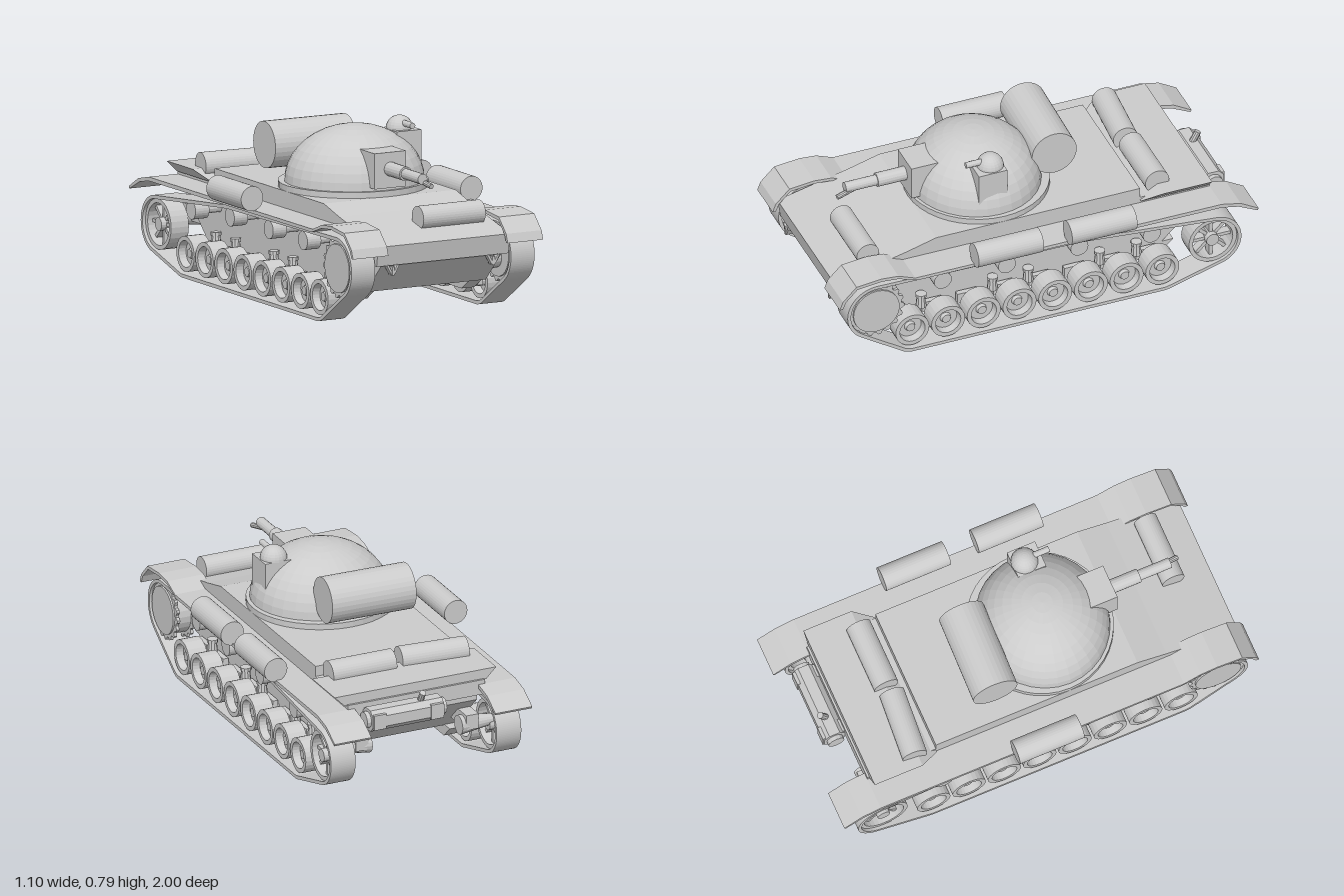
import * as THREE from 'three';

const mat = new THREE.MeshStandardMaterial({ color: 0xcccccc, flatShading: true, side: THREE.DoubleSide });

function add(parent, name, geo, x = 0, y = 0, z = 0) {
  const m = new THREE.Mesh(geo, mat);
  m.name = name;
  m.position.set(x, y, z);
  parent.add(m);
  return m;
}
const box = (w, h, d) => new THREE.BoxGeometry(w, h, d);
const cylX = (r, len, seg = 24, r2 = r) => new THREE.CylinderGeometry(r, r2, len, seg).rotateZ(-Math.PI / 2);
const cylZ = (r, len, seg = 16, r2 = r) => new THREE.CylinderGeometry(r, r2, len, seg).rotateX(Math.PI / 2);

// Extrudes a [z, y] outline across x, centred, with optional hole outlines
function sideExtrude(pts, width, holes = []) {
  const shape = new THREE.Shape(pts.map(p => new THREE.Vector2(...p)));
  for (const h of holes) shape.holes.push(new THREE.Path(h.map(p => new THREE.Vector2(...p))));
  return new THREE.ExtrudeGeometry(shape, { depth: width, bevelEnabled: false })
    .translate(0, 0, -width / 2).rotateY(-Math.PI / 2);
}

// Box whose bottom and top rectangles differ: [halfX, zMin, zMax]
function frustum(y0, a, y1, b) {
  const g = box(2, 2, 2), p = g.attributes.position;
  for (let i = 0; i < p.count; i++) {
    const top = p.getY(i) > 0, r = top ? b : a;
    p.setXYZ(i, p.getX(i) * r[0], top ? y1 : y0, p.getZ(i) > 0 ? r[2] : r[1]);
  }
  g.computeVertexNormals();
  return g;
}

// Belt outline stretched round [z, y, radius] circles
function belt(circles, inset) {
  const pts = [];
  for (let i = 0; i < 96; i++) {
    const t = (i / 96) * Math.PI * 2, c = Math.cos(t), s = Math.sin(t);
    const support = k => k[0] * c + k[1] * s + k[2];
    const k = circles.reduce((m, q) => (support(q) > support(m) ? q : m));
    pts.push([k[0] + (k[2] - inset) * c, k[1] + (k[2] - inset) * s]);
  }
  return pts;
}

// Turned wheel profile of [radius, x], axis along x
const turned = (pts, seg = 24) =>
  new THREE.LatheGeometry(pts.map(p => new THREE.Vector2(...p)), seg).rotateZ(-Math.PI / 2);

const SPROCKET = [0.815, 0.263], IDLER = [-0.79, 0.2];
const ROLLERS = [[0.495, 0.335], [0.19, 0.335], [-0.155, 0.335], [-0.5, 0.31]];

// Running gear of one side, built for +x
function runningGear() {
  const g = new THREE.Group();
  const circles = [[...SPROCKET, 0.14], [0.64, 0.105, 0.105], [-0.55, 0.105, 0.105], [...IDLER, 0.13],
    ...ROLLERS.map(r => [...r, 0.055])];
  add(g, 'track', sideExtrude(belt(circles, 0), 0.12, [belt(circles, 0.016)]), 0.405);

  // Road wheels with dished faces, axles and bump stops
  const wheel = [[0, 0.025], [0.02, 0.025], [0.025, 0.01], [0.055, 0.01], [0.06, 0.045], [0.08, 0.045],
    [0.08, -0.045], [0.06, -0.045], [0.055, -0.01], [0, -0.01]];
  for (let i = 0; i < 8; i++) {
    const z = 0.64 - i * 0.17;
    add(g, 'roadWheel', turned(wheel), 0.405, 0.105, z);
    add(g, 'wheelAxle', cylX(0.025, 0.11, 12), 0.35, 0.105, z);
    add(g, 'swingArm', box(0.025, 0.05, 0.1), 0.325, 0.125, z + 0.03);
  }
  for (const z of [0.555, 0.215, 0.045, -0.295, -0.47]) {
    add(g, 'bumpStop', new THREE.CylinderGeometry(0.019, 0.025, 0.06, 10), 0.34, 0.17, z);
    add(g, 'bumpStopCap', new THREE.CylinderGeometry(0.025, 0.025, 0.015, 10), 0.34, 0.2, z);
  }

  // Return rollers
  for (const [z, y] of ROLLERS) {
    add(g, 'returnRoller', cylX(0.042, 0.07), 0.415, y, z);
    add(g, 'rollerAxle', cylX(0.022, 0.1, 12), 0.345, y, z);
  }

  // Toothed drive sprocket
  const teeth = [];
  for (let i = 0; i < 72; i++) {
    const t = (i / 72) * Math.PI * 2, r = i % 4 < 2 ? 0.136 : 0.122;
    teeth.push([Math.cos(t) * r, Math.sin(t) * r]);
  }
  for (const x of [0.365, 0.445]) add(g, 'sprocketRing', sideExtrude(teeth, 0.014), x, SPROCKET[1], SPROCKET[0]);
  add(g, 'sprocketDrum', cylX(0.11, 0.11), 0.405, SPROCKET[1], SPROCKET[0]);
  add(g, 'finalDrive', cylX(0.045, 0.1, 20, 0.06), 0.32, SPROCKET[1] - 0.02, SPROCKET[0]);

  // Spoked idler
  const rim = [[0.095, -0.045], [0.114, -0.045], [0.114, 0.045], [0.095, 0.045], [0.095, -0.045]];
  add(g, 'idlerRim', turned(rim, 28), 0.405, IDLER[1], IDLER[0]);
  add(g, 'idlerHub', cylX(0.03, 0.09, 16), 0.405, IDLER[1], IDLER[0]);
  for (let i = 0; i < 8; i++) {
    const spoke = box(0.04, 0.09, 0.016).translate(0, 0.06, 0);
    add(g, 'idlerSpoke', spoke, 0.405, IDLER[1], IDLER[0]).rotation.x = (i / 8) * Math.PI * 2;
  }
  add(g, 'idlerAxle', cylX(0.025, 0.16, 16, 0.045), 0.3, IDLER[1] + 0.02, IDLER[0]);
  add(g, 'idlerBracket', box(0.06, 0.07, 0.2), 0.27, 0.24, -0.73);

  // Mudguard strip with sloping front and rear flaps
  add(g, 'fender', sideExtrude([[1, 0.335], [0.985, 0.375], [0.92, 0.44], [0.8, 0.452], [0.72, 0.445], [0.64, 0.413],
    [-0.82, 0.41], [-0.91, 0.39], [-0.995, 0.34], [-0.99, 0.33], [-0.9, 0.375], [-0.82, 0.392],
    [0.63, 0.398], [0.72, 0.43], [0.8, 0.437], [0.915, 0.425], [0.97, 0.37], [0.985, 0.335]], 0.18), 0.393);

  // Floor rail and tow hook
  add(g, 'floorRail', sideExtrude([[0.78, 0.145], [0.7, 0.09], [-0.6, 0.09], [-0.66, 0.145]], 0.065), 0.272);
  for (const s of [-1, 1]) {
    add(g, 'towHook', box(0.01, 0.045, 0.025), 0.255 + s * 0.016, 0.262, 0.945).rotation.z = -s * 0.5;
  }
  add(g, 'towHookStem', box(0.012, 0.04, 0.04), 0.255, 0.255, 0.94);
  return g;
}

export function createModel() {
  const tank = new THREE.Group();
  tank.name = 'tank';

  // Hull
  const hull = new THREE.Group();
  hull.name = 'hull';
  hull.position.x = 0.004;
  tank.add(hull);
  add(hull, 'lowerHull', sideExtrude([[0.95, 0.29], [0.8, 0.14], [-0.6, 0.14], [-0.8, 0.33], [-0.8, 0.4], [0.9, 0.37]], 0.61));
  add(hull, 'upperHull', sideExtrude([[0.965, 0.37], [0.95, 0.28], [0.9, 0.28], [0.75, 0.385], [-0.82, 0.36],
    [-0.82, 0.43], [-0.49, 0.44], [-0.49, 0.488], [0.48, 0.488], [0.62, 0.45]], 0.67));
  add(hull, 'engineDeck', frustum(0.425, [0.345, -0.81, -0.49], 0.475, [0.395, -0.81, -0.58]));

  // Tracks, wheels and fenders
  for (const s of [1, -1]) {
    const side = runningGear();
    side.name = s > 0 ? 'leftRunningGear' : 'rightRunningGear';
    side.scale.x = s;
    hull.add(side);
  }

  // Exhaust silencer on the tail
  const oct = [[-0.05, -0.025], [-0.025, -0.05], [0.025, -0.05], [0.05, -0.025], [0.05, 0.025],
    [0.025, 0.05], [-0.025, 0.05], [-0.05, 0.025]];
  add(tank, 'silencer', sideExtrude(oct, 0.35), 0.09, 0.37, -0.87);
  add(tank, 'silencerCore', cylX(0.038, 0.39, 12), 0.09, 0.37, -0.87);
  for (const x of [-0.05, 0.23]) add(tank, 'silencerStrap', box(0.06, 0.07, 0.11), x, 0.37, -0.87);
  add(tank, 'exhaustPipe', new THREE.CylinderGeometry(0.015, 0.015, 0.06, 10), 0.01, 0.435, -0.885).rotation.x = -0.5;

  // Domed turret on its ring
  const turret = new THREE.Group();
  turret.name = 'turret';
  tank.add(turret);
  add(turret, 'turretRing', new THREE.CylinderGeometry(0.335, 0.335, 0.03, 40), 0.004, 0.5, 0.155).scale.z = 0.97;
  const dome = new THREE.SphereGeometry(1, 32, 10, 0, Math.PI * 2, 0, Math.PI / 2).scale(0.315, 0.252, 0.298);
  add(turret, 'turretDome', dome, 0.004, 0.513, 0.167);

  // Gun
  add(turret, 'mantlet', box(0.16, 0.16, 0.22), 0, 0.61, 0.383);
  add(turret, 'gunSleeve', cylZ(0.032, 0.16), 0, 0.615, 0.55);
  add(turret, 'gunBarrel', cylZ(0.024, 0.3), 0, 0.615, 0.63);
  add(turret, 'muzzleRod', cylZ(0.012, 0.1, 10), 0.013, 0.597, 0.775).rotation.set(0.2, 0.15, 0);

  // Small cupola with its own gun
  add(turret, 'cupolaBase', box(0.125, 0.16, 0.135), 0.23, 0.647, 0.19);
  add(turret, 'cupolaDome', new THREE.SphereGeometry(0.061, 20, 8, 0, Math.PI * 2, 0, Math.PI / 2), 0.226, 0.725, 0.178);
  add(turret, 'cupolaGun', cylZ(0.014, 0.1, 12), 0.226, 0.755, 0.245);

  // Stowed drums: x, y, z, radius, length, yaw
  const across = [
    ['turretDrum', -0.057, 0.64, -0.167, 0.105, 0.405, -0.03],
    ['frontDrum', 0.13, 0.445, 0.785, 0.053, 0.315, 0],
    ['rearDrum', -0.185, 0.487, -0.583, 0.057, 0.315, -0.08],
    ['rearDrum', 0.165, 0.487, -0.58, 0.057, 0.31, 0],
  ];
  for (const [name, x, y, z, r, len, yaw] of across) {
    add(tank, name, cylX(r, len, 32), x, y, z).rotation.y = yaw;
  }
  for (const [x, y, z] of [[-0.495, 0.468, -0.025], [0.488, 0.46, 0.205], [0.488, 0.46, -0.24]]) {
    add(tank, 'sideDrum', cylZ(0.056, 0.31, 32), x, y, z);
  }
  return tank;
}
